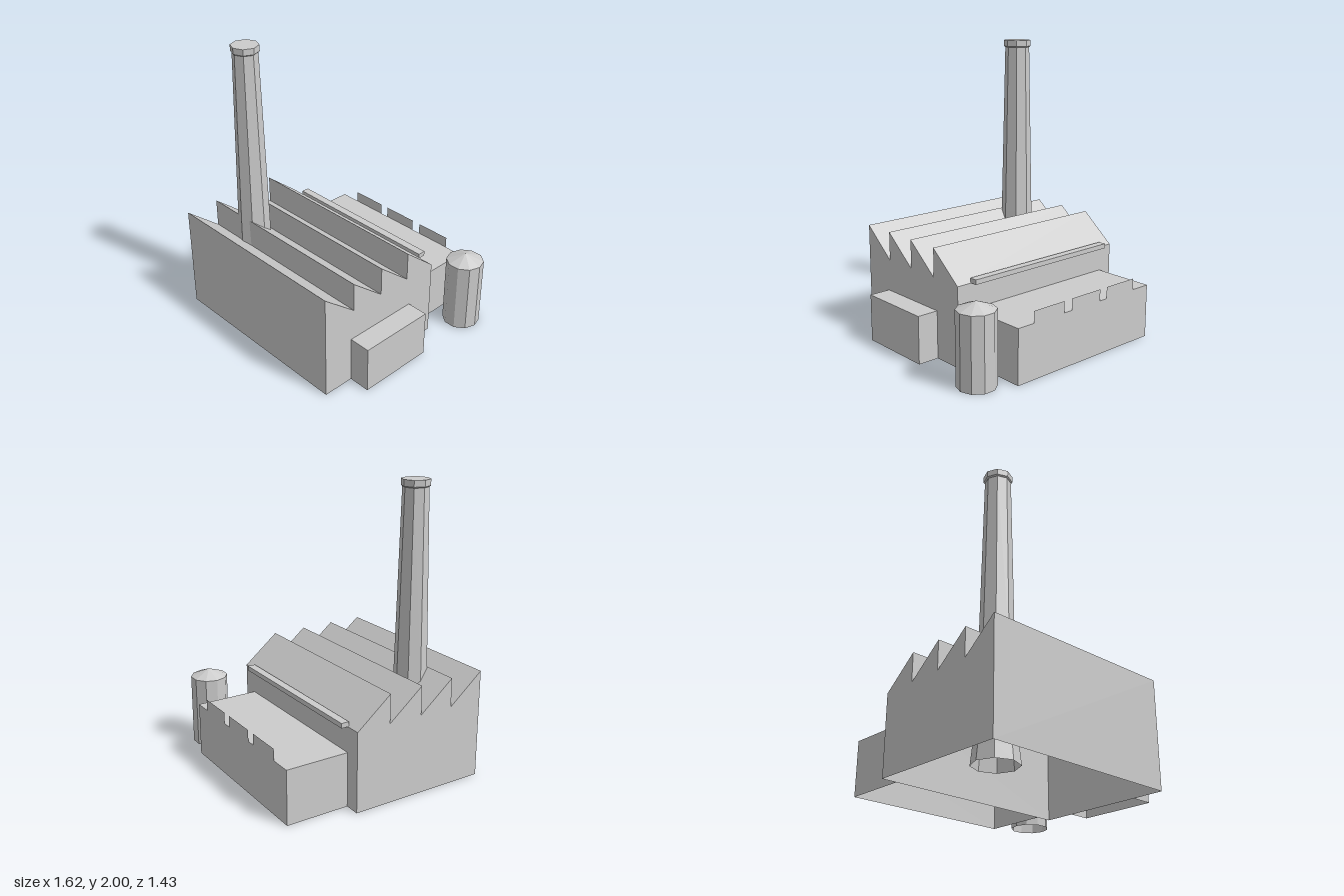
import * as THREE from 'three';

const grey = new THREE.MeshStandardMaterial({ color: 0xcccccc, flatShading: true, side: THREE.DoubleSide });
grey.name = 'concrete grey';

// Removes the triangles lying on the ground, leaving a hollow shell
function openBottom(geometry) {
  const source = geometry.index ? geometry.toNonIndexed() : geometry;
  const p = source.attributes.position;
  const kept = [];
  for (let i = 0; i < p.count; i += 3) {
    if (Math.max(p.getY(i), p.getY(i + 1), p.getY(i + 2)) < 1e-4) continue;
    for (let j = i; j < i + 3; j++) kept.push(p.getX(j), p.getY(j), p.getZ(j));
  }
  const shell = new THREE.BufferGeometry();
  shell.setAttribute('position', new THREE.Float32BufferAttribute(kept, 3));
  shell.computeVertexNormals();
  return shell;
}

// Box from its lower and upper limits on each axis
function block(x0, x1, y0, y1, z0, z1) {
  return new THREE.BoxGeometry(x1 - x0, y1 - y0, z1 - z0)
    .translate((x0 + x1) / 2, (y0 + y1) / 2, (z0 + z1) / 2);
}

function lathe(points, sides) {
  return new THREE.LatheGeometry(points.map(([r, y]) => new THREE.Vector2(r, y)), sides);
}

export function createModel() {
  const model = new THREE.Group();
  model.name = 'factory';
  const add = (name, geometry) => {
    const mesh = new THREE.Mesh(geometry, grey);
    mesh.name = name;
    model.add(mesh);
    return mesh;
  };

  // Main hall with a four-tooth sawtooth roof, drawn in z-y and extruded along x
  const front = 0.713, back = -0.27, teeth = 4;
  const pitch = (front - back) / teeth;
  const profile = new THREE.Shape();
  profile.moveTo(front, 0);
  for (let i = 0; i < teeth; i++) {
    profile.lineTo(front - i * pitch, 0.75);
    profile.lineTo(front - (i + 1) * pitch, 0.55);
  }
  profile.lineTo(back, 0);
  const hall = new THREE.ExtrudeGeometry(profile, { depth: 1.42, bevelEnabled: false })
    .rotateY(-Math.PI / 2).translate(0.61, 0, 0);
  add('sawtoothHall', openBottom(hall));

  // Lower buildings
  add('rearAnnex', openBottom(block(-0.705, 0.5, 0, 0.375, -0.713, -0.27)));
  add('sideShed', openBottom(block(0.61, 0.762, 0, 0.33, -0.055, 0.49)));

  // Gutter beam along the rear eave
  add('eaveBeam', block(-0.705, 0.5, 0.55, 0.583, -0.318, -0.263));

  // Thin panels standing on the rear edge of the annex
  for (const x of [0.237, -0.095, -0.423]) {
    add('parapetPanel', new THREE.PlaneGeometry(0.265, 0.08).rotateY(Math.PI).translate(x, 0.415, -0.713));
  }

  // Chimney flaring at the foot, with a small collar at the top
  add('chimney', lathe([
    [0.15, 0], [0.14, 0.09], [0.12, 0.3], [0.114, 0.55], [0.111, 0.75],
    [0.086, 1.95], [0.095, 1.958], [0.095, 2], [0, 2],
  ], 8)).position.set(-0.487, 0, 0.38);

  // Ten-sided silo with a shallow cone roof
  const silo = add('silo', lathe([[0.13, 0], [0.13, 0.5], [0, 0.552]], 10));
  silo.position.set(0.685, 0, -0.54);
  silo.rotation.y = Math.PI / 10;

  return model;
}
